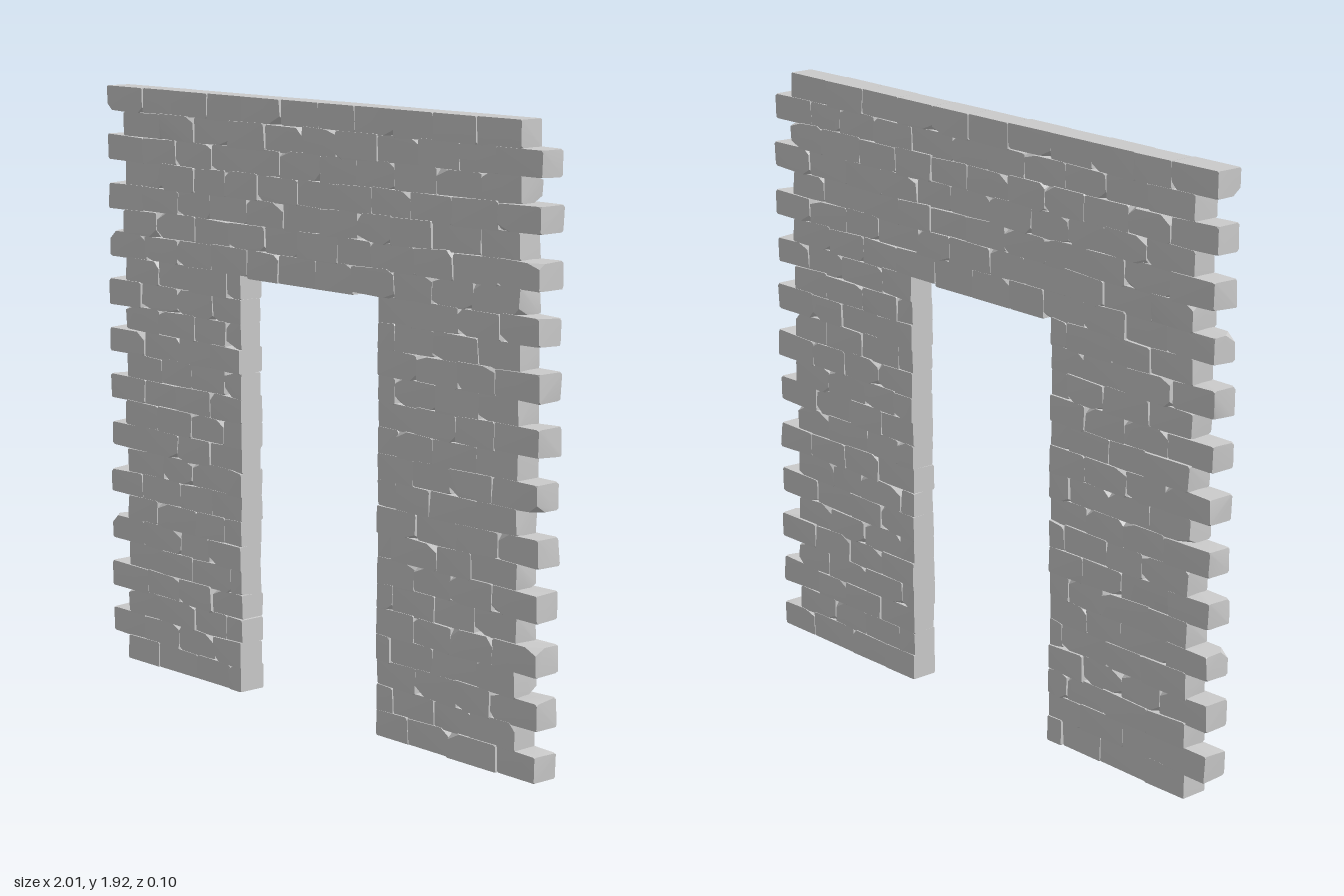
import * as THREE from 'three';
import { ConvexGeometry } from 'three/addons/geometries/ConvexGeometry.js';
import { mergeGeometries, toCreasedNormals } from 'three/addons/utils/BufferGeometryUtils.js';

const ROWS = 24, ROW_H = 0.08, BRICKS = 11, LENGTH = 1.915 / BRICKS;
const DOOR = { left: -0.325, right: 0.32, rows: 17, top: 1.35 };

// Seeded random numbers
let seed = 7;
function random() {
  seed = (seed * 1664525 + 1013904223) % 4294967296;
  return seed / 4294967296;
}
const range = (a, b) => a + (b - a) * random();

// One worn brick: a block whose eight corners are each cut off by a random amount.
// straight.x0 / x1 / y0 / y1 mark the sides that stay crisp (jambs, lintel, base, top).
function brick(x0, x1, y0, y1, straight) {
  const points = [];
  const front = 0.043 + range(-0.004, 0.005), back = -0.043 + range(-0.005, 0.004);
  for (const sx of [0, 1]) for (const sy of [0, 1]) for (const sz of [0, 1]) {
    const crispX = straight[sx ? 'x1' : 'x0'], crispY = straight[sy ? 'y1' : 'y0'];
    const crisp = crispX || crispY;
    const chipped = !crisp && random() < 0.2;
    const corner = new THREE.Vector3(
      (sx ? x1 : x0) + (crispX ? 0 : range(-0.003, 0.003)),
      (sy ? y1 : y0) + (crispY ? 0 : range(-0.004, 0.004)),
      (sz ? front : back) + range(-0.002, 0.002)
    );
    const cut = crisp ? [0.004, 0.004, 0.004]
      : chipped ? [range(0.02, 0.055), range(0.012, 0.028), range(0.015, 0.04)]
        : [range(0.003, 0.012), range(0.002, 0.008), range(0.003, 0.01)];
    [sx, sy, sz].forEach((side, axis) => {
      const p = corner.clone();
      p.setComponent(axis, p.getComponent(axis) + (side ? -1 : 1) * cut[axis]);
      points.push(p);
    });
  }
  return toCreasedNormals(new ConvexGeometry(points), 0.5);
}

// Bricks laid end to end from a to b, with joints at the given positions
function run(a, b, joints, row, jambs) {
  const stops = [a, ...joints.filter((x) => x > a + 0.03 && x < b - 0.03), b];
  const last = stops.length - 2;
  const overLintel = (l, r) => row === DOOR.rows && r > DOOR.left && l < DOOR.right;
  return stops.slice(0, -1).map((l, i) => {
    const r = stops[i + 1];
    const lintel = overLintel(l, r) && l > DOOR.left - 0.06 && r < DOOR.right + 0.06;
    const y0 = row === 0 ? 0 : lintel ? DOOR.top : row * ROW_H - 0.001;
    const y1 = (row + 1) * ROW_H + (row === ROWS - 1 ? 0 : 0.001);
    return brick(l, r, y0, y1, {
      x0: i === 0 && jambs.start,
      x1: i === last && jambs.end,
      y0: row === 0 || lintel,
      y1: row === ROWS - 1,
    });
  });
}

export function createModel() {
  seed = 7;
  const wall = new THREE.Group();
  wall.name = 'brickWallWithDoorway';
  const material = new THREE.MeshStandardMaterial({ color: 0xcccccc });

  for (let row = 0; row < ROWS; row++) {
    // Alternate courses shift by half a brick, leaving toothed ends
    const start = row % 2 ? -1 : -0.915, end = start + BRICKS * LENGTH;
    const joints = [];
    for (let i = 1; i < BRICKS; i++) joints.push(start + i * LENGTH + range(-0.018, 0.018));

    const bricks = row < DOOR.rows
      ? [
        ...run(start, DOOR.left, joints, row, { start: false, end: true }),
        ...run(DOOR.right, end, joints, row, { start: true, end: false }),
      ]
      : run(start, end, joints, row, { start: false, end: false });

    const course = new THREE.Mesh(mergeGeometries(bricks), material);
    course.name = `brickCourse${row + 1}`;
    wall.add(course);
  }
  return wall;
}
